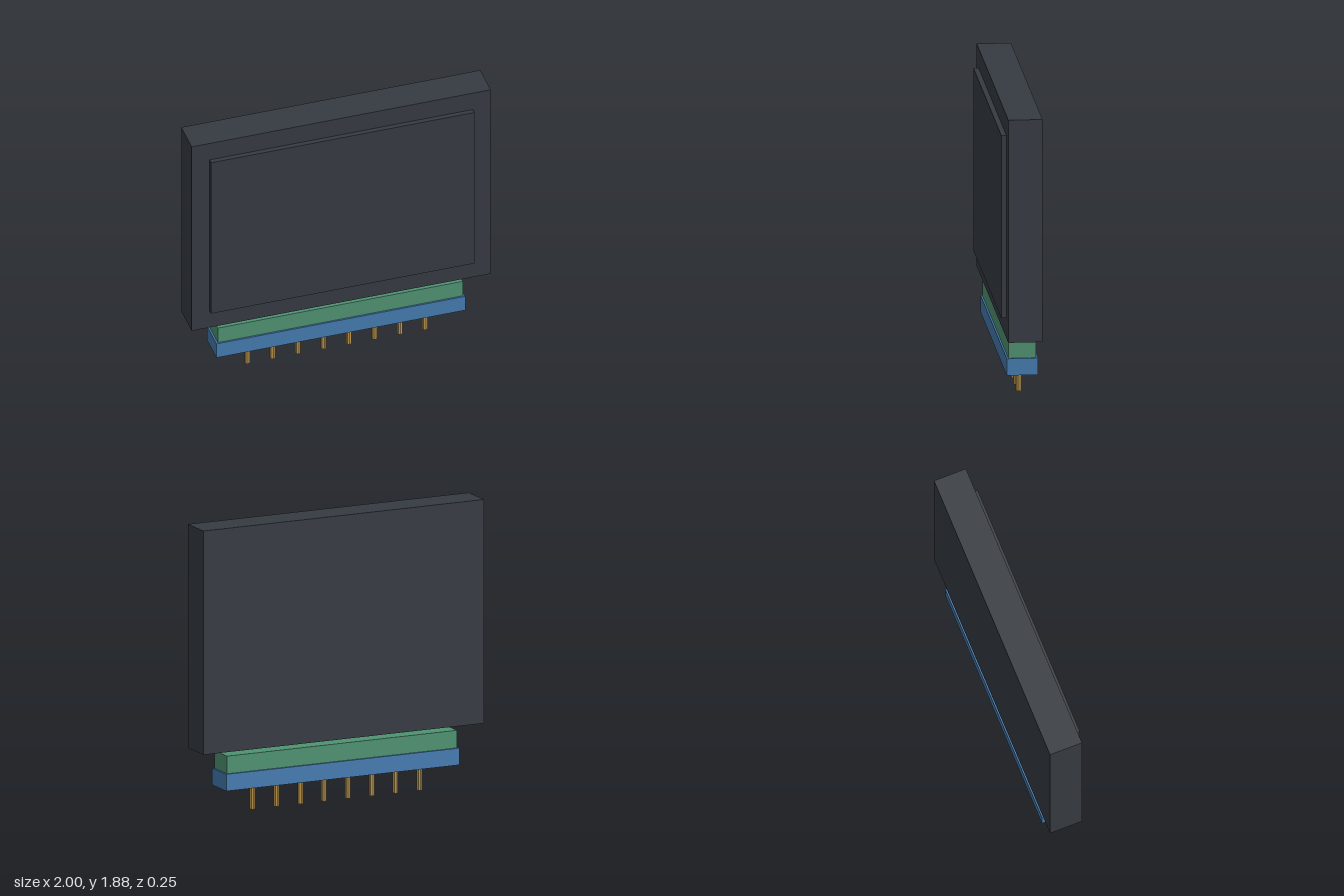
import * as THREE from 'three';

const paint = (name, color) => {
  const m = new THREE.MeshStandardMaterial({ color });
  m.name = name;
  return m;
};

export function createModel() {
  const model = new THREE.Group();
  model.name = 'displayModule';

  const charcoal = paint('charcoal', 0x363b42);
  const green = paint('green', 0x4f9272);
  const blue = paint('blue', 0x457bb0);
  const brass = paint('brass', 0xc09a50);
  brass.flatShading = true;

  // Box centred on x, given its width and its y and z extents
  const box = (name, material, width, y0, y1, z0, z1) => {
    const mesh = new THREE.Mesh(new THREE.BoxGeometry(width, y1 - y0, z1 - z0), material);
    mesh.position.set(0, (y0 + y1) / 2, (z0 + z1) / 2);
    mesh.name = name;
    model.add(mesh);
  };

  // Display housing with its raised screen
  box('housing', charcoal, 2, 0.417, 1.88, -0.126, 0.093);
  box('screen', charcoal, 1.76, 0.55, 1.75, 0.093, 0.126);

  // Connector: upper board strip and lower pin header
  box('boardStrip', green, 1.64, 0.27, 0.385, -0.102, 0.075);
  box('pinHeader', blue, 1.664, 0.16, 0.27, -0.115, 0.086);

  // Row of eight contact pins
  const pins = new THREE.Group();
  pins.name = 'pins';
  const pinGeometry = new THREE.CylinderGeometry(0.019, 0.019, 0.16, 8);
  for (let i = 0; i < 8; i++) {
    const pin = new THREE.Mesh(pinGeometry, brass);
    pin.position.set((i - 3.5) * 0.17, 0.08, -0.014);
    pin.name = 'pin';
    pins.add(pin);
  }
  model.add(pins);

  return model;
}
